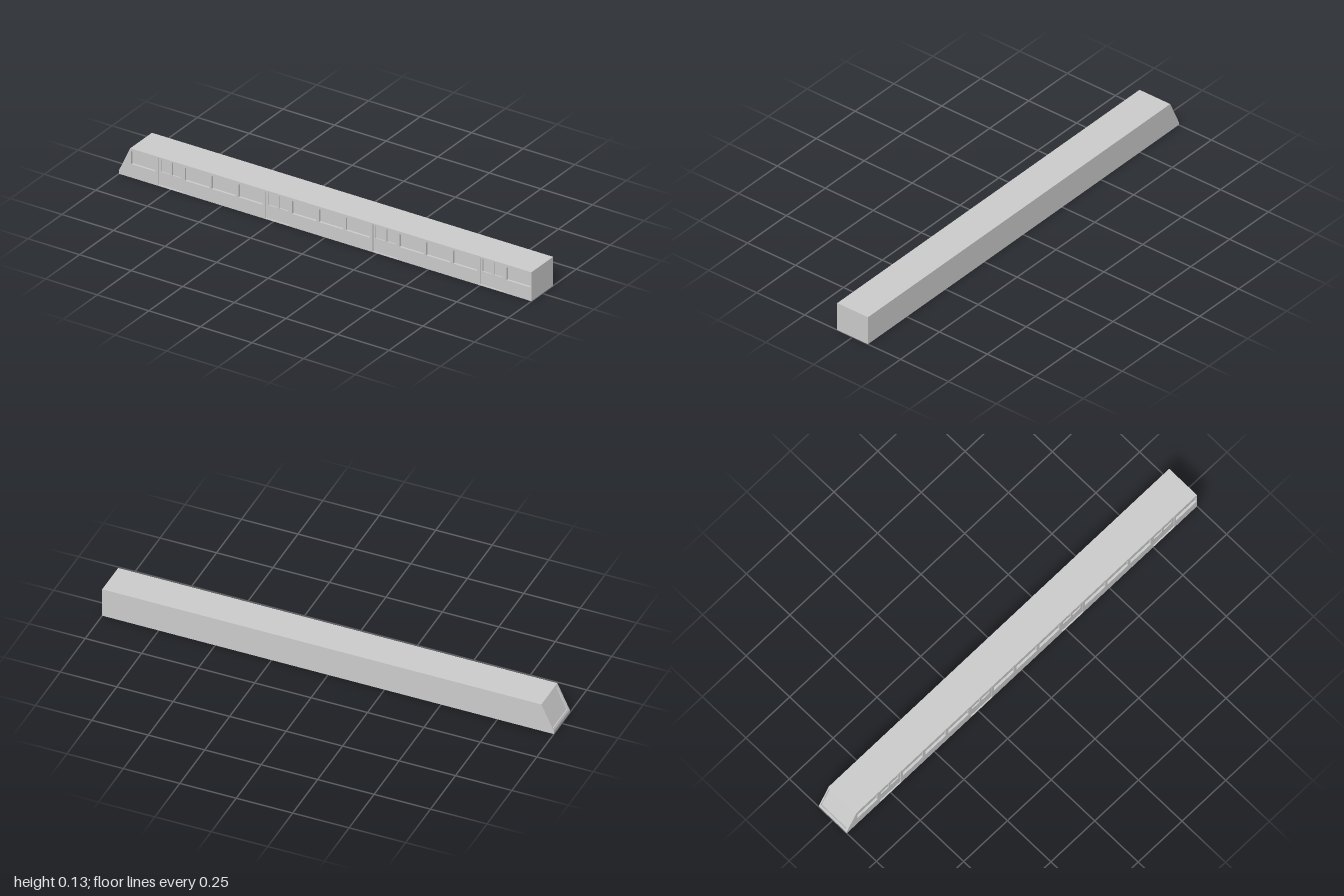
import * as THREE from 'three';

const HEIGHT = 0.133, HALF_WIDTH = 0.08, SKIN = 0.01, BAY = 0.13;
const noseBottom = new THREE.Vector2(-1, 0.015);
const noseTop = new THREE.Vector2(-0.945, HEIGHT);

const material = new THREE.MeshStandardMaterial({ color: 0xcccccc, flatShading: true });

// Closed rectangle, used for wall openings and door leaves
function rect(PathType, x0, y0, x1, y1) {
  return new PathType([[x0, y0], [x1, y0], [x1, y1], [x0, y1]].map(p => new THREE.Vector2(...p)));
}

// Side profile of the carriage; a positive notch sinks the windscreen into the nose
function profile(notch = 0) {
  const points = [new THREE.Vector2(-1, 0), new THREE.Vector2(1, 0), new THREE.Vector2(1, HEIGHT), noseTop];
  if (notch > 0) {
    const along = noseTop.clone().sub(noseBottom);
    const inward = new THREE.Vector2(along.y, -along.x).normalize().multiplyScalar(notch);
    const upper = noseBottom.clone().addScaledVector(along, 0.93);
    const lower = noseBottom.clone().addScaledVector(along, 0.08);
    points.push(upper, upper.clone().add(inward), lower.clone().add(inward), lower);
  }
  points.push(noseBottom);
  return new THREE.Shape(points);
}

// Slice of the carriage between two depths
function slab(name, shape, z0, z1) {
  const geometry = new THREE.ExtrudeGeometry(shape, { depth: z1 - z0, bevelEnabled: false });
  geometry.translate(0, 0, z0);
  const mesh = new THREE.Mesh(geometry, material);
  mesh.name = name;
  return mesh;
}

export function createModel() {
  const group = new THREE.Group();
  group.name = 'trainCarriage';
  const skinBack = HALF_WIDTH - SKIN;

  // Main body with the sunken windscreen, and the plain far wall
  group.add(slab('body', profile(0.007), -HALF_WIDTH + 0.006, skinBack));
  group.add(slab('plainSideWall', profile(), -HALF_WIDTH, -HALF_WIDTH + 0.006));

  // Front wall: every fourth bay is a double door, the others are windows
  const wall = profile();
  for (let i = 0; i < 15; i++) {
    const x = -0.94 + i * BAY;
    if (i % 4 === 1) {
      wall.holes.push(rect(THREE.Path, x, 0.004, x + 0.12, 0.127));
      // Recessed door panel with one window per leaf
      const door = rect(THREE.Shape, x, 0.004, x + 0.12, 0.127);
      for (const offset of [0.01, 0.065]) {
        door.holes.push(rect(THREE.Path, x + offset, 0.065, x + offset + 0.045, 0.122));
      }
      group.add(slab('door', door, skinBack, skinBack + 0.005));
    } else {
      wall.holes.push(rect(THREE.Path, x, 0.062, x + 0.116, 0.121));
    }
  }
  group.add(slab('windowSideWall', wall, skinBack, HALF_WIDTH));

  return group;
}
